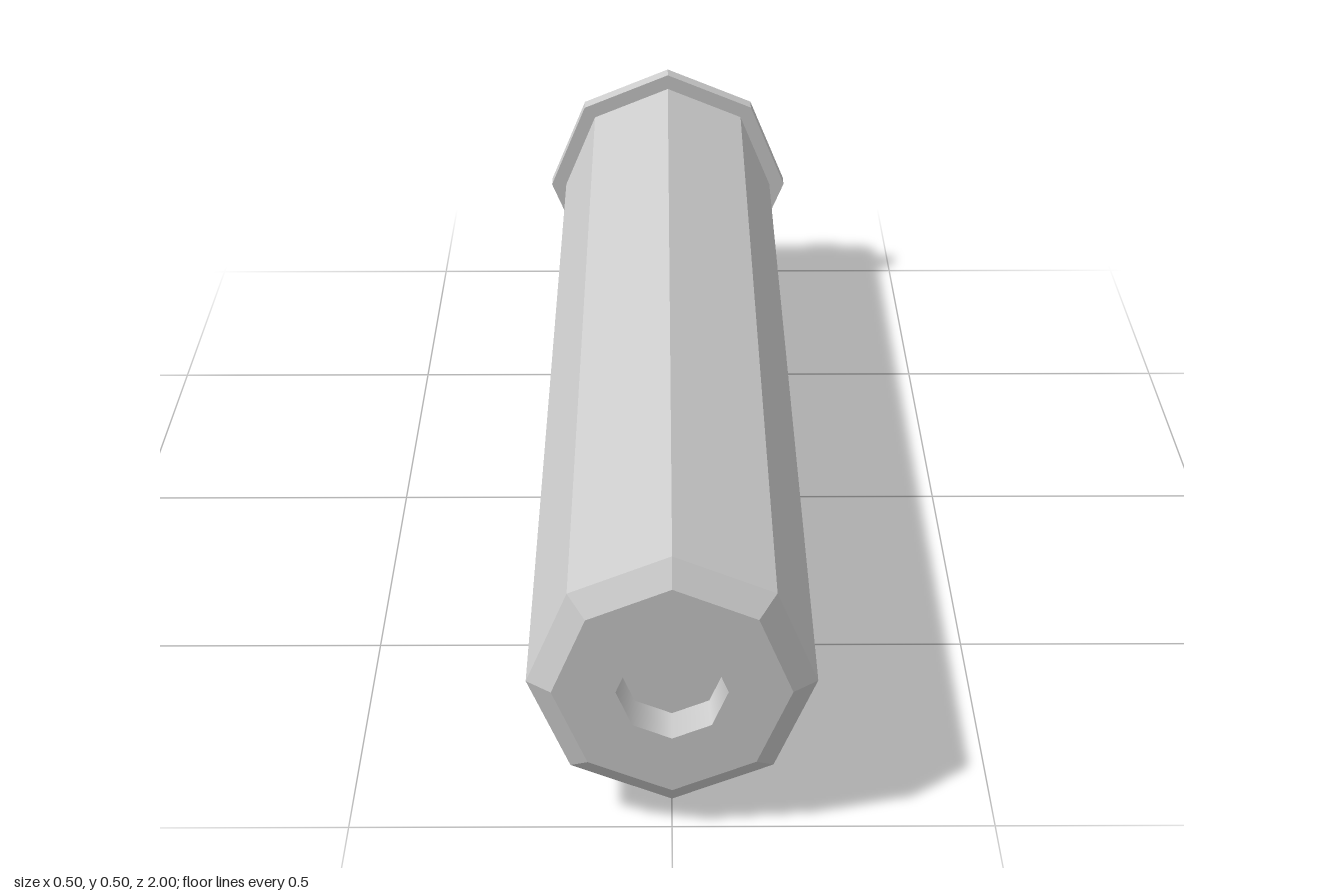
import * as THREE from 'three';

const SIDES = 8;
const CENTRE_Y = 0.252;

// Octagonal part turned around the z axis; profile points are [radius, z]
function turned(name, profile, flatShading = true) {
  const points = profile.map(([r, z]) => new THREE.Vector2(r, z));
  const geometry = new THREE.LatheGeometry(points, SIDES);
  geometry.rotateX(Math.PI / 2);
  const material = new THREE.MeshStandardMaterial({ color: 0xcccccc, flatShading });
  const mesh = new THREE.Mesh(geometry, material);
  mesh.name = name;
  mesh.position.y = CENTRE_Y;
  return mesh;
}

export function createModel() {
  const model = new THREE.Group();
  model.name = 'octagonalTube';

  // Long shell, chamfered at the front, with flat rims at both ends
  model.add(turned('body', [
    [0.162, -1], [0.221, -1], [0.221, 0.97], [0.182, 1], [0.085, 1],
  ]));

  // Collar near the back end
  model.add(turned('collar', [
    [0.215, -0.945], [0.252, -0.945], [0.252, -0.91], [0.215, -0.91],
  ]));

  // Wide recess in the back end: softly shaded wall and flat floor
  model.add(turned('backRecessWall', [[0.155, -0.92], [0.162, -1]], false));
  model.add(turned('backRecessFloor', [[0, -0.92], [0.155, -0.92]]));

  // Small recess in the front end
  model.add(turned('frontRecessWall', [[0.085, 1], [0.081, 0.94]], false));
  model.add(turned('frontRecessFloor', [[0.081, 0.94], [0, 0.94]]));

  return model;
}
